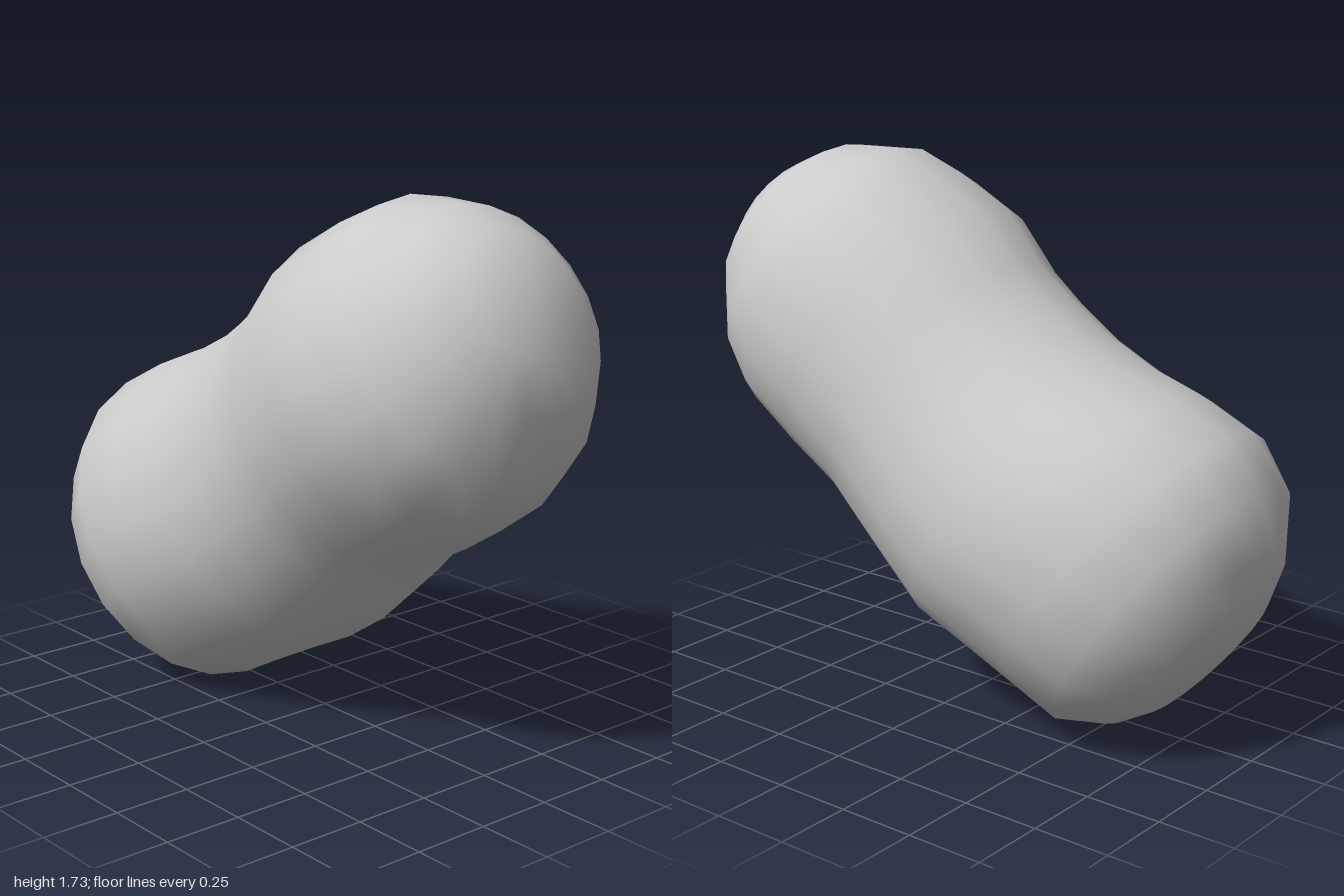
import * as THREE from 'three';

// Cross-sections along the tilted axis: [along, top, bottom, right x, left x]
const SECTIONS = [
  [-1.055, 0.03, 0.03, 0, 0],
  [-1.01, 0.25, -0.25, -0.26, 0.26],
  [-0.95, 0.384, -0.37, -0.38, 0.37],
  [-0.827, 0.53, -0.491, -0.49, 0.46],
  [-0.65, 0.59, -0.51, -0.54, 0.51],
  [-0.45, 0.565, -0.535, -0.52, 0.53],
  [-0.268, 0.518, -0.562, -0.5, 0.54],
  [-0.086, 0.491, -0.54, -0.48, 0.52],
  [0.09, 0.488, -0.519, -0.475, 0.505],
  [0.23, 0.495, -0.493, -0.48, 0.505],
  [0.445, 0.537, -0.52, -0.515, 0.5],
  [0.65, 0.512, -0.517, -0.505, 0.495],
  [0.807, 0.48, -0.467, -0.45, 0.45],
  [0.984, 0.35, -0.335, -0.33, 0.33],
  [1.07, 0.22, -0.19, -0.21, 0.21],
  [1.118, 0.04, 0.04, 0, 0],
];
const SIDES = 20;

// Loft of lopsided ovals, closed by a pole at each end
function loft(sections, axis, up, centre) {
  const positions = [], index = [];
  const last = sections.length - 1;
  const point = (x, t, s) => {
    const p = centre.clone().addScaledVector(up, t).addScaledVector(axis, s);
    positions.push(p.x + x, p.y, p.z);
  };
  sections.forEach(([s, top, bottom, right, left], i) => {
    if (i === 0 || i === last) return point(0, top, s);
    for (let j = 0; j < SIDES; j++) {
      const a = (j / SIDES) * Math.PI * 2;
      point((left + right) / 2 + Math.cos(a) * (left - right) / 2,
        (top + bottom) / 2 + Math.sin(a) * (top - bottom) / 2, s);
    }
  });
  const id = (i, j) => i === 0 ? 0 : 1 + (i - 1) * SIDES + (i === last ? 0 : j % SIDES);
  for (let i = 0; i < last; i++) {
    for (let j = 0; j < SIDES; j++) {
      const a = id(i, j), b = id(i, j + 1), c = id(i + 1, j + 1), d = id(i + 1, j);
      if (i > 0) index.push(a, b, d);
      if (i === 0) index.push(a, c, d);
      else if (i < last - 1) index.push(b, c, d);
    }
  }
  const geometry = new THREE.BufferGeometry();
  geometry.setAttribute('position', new THREE.Float32BufferAttribute(positions, 3));
  geometry.setIndex(index);
  geometry.computeVertexNormals();
  return geometry;
}

export function createModel() {
  const group = new THREE.Group();
  group.name = 'tiltedCapsule';

  // Waisted body rising from the back to the front
  const axis = new THREE.Vector3(0, 0.569, 0.822);
  const up = new THREE.Vector3(0, 0.822, -0.569);
  const body = new THREE.Mesh(
    loft(SECTIONS, axis, up, new THREE.Vector3(0, 0.875, 0)),
    new THREE.MeshStandardMaterial({ color: 0xcccccc })
  );
  body.name = 'body';
  group.add(body);
  return group;
}
